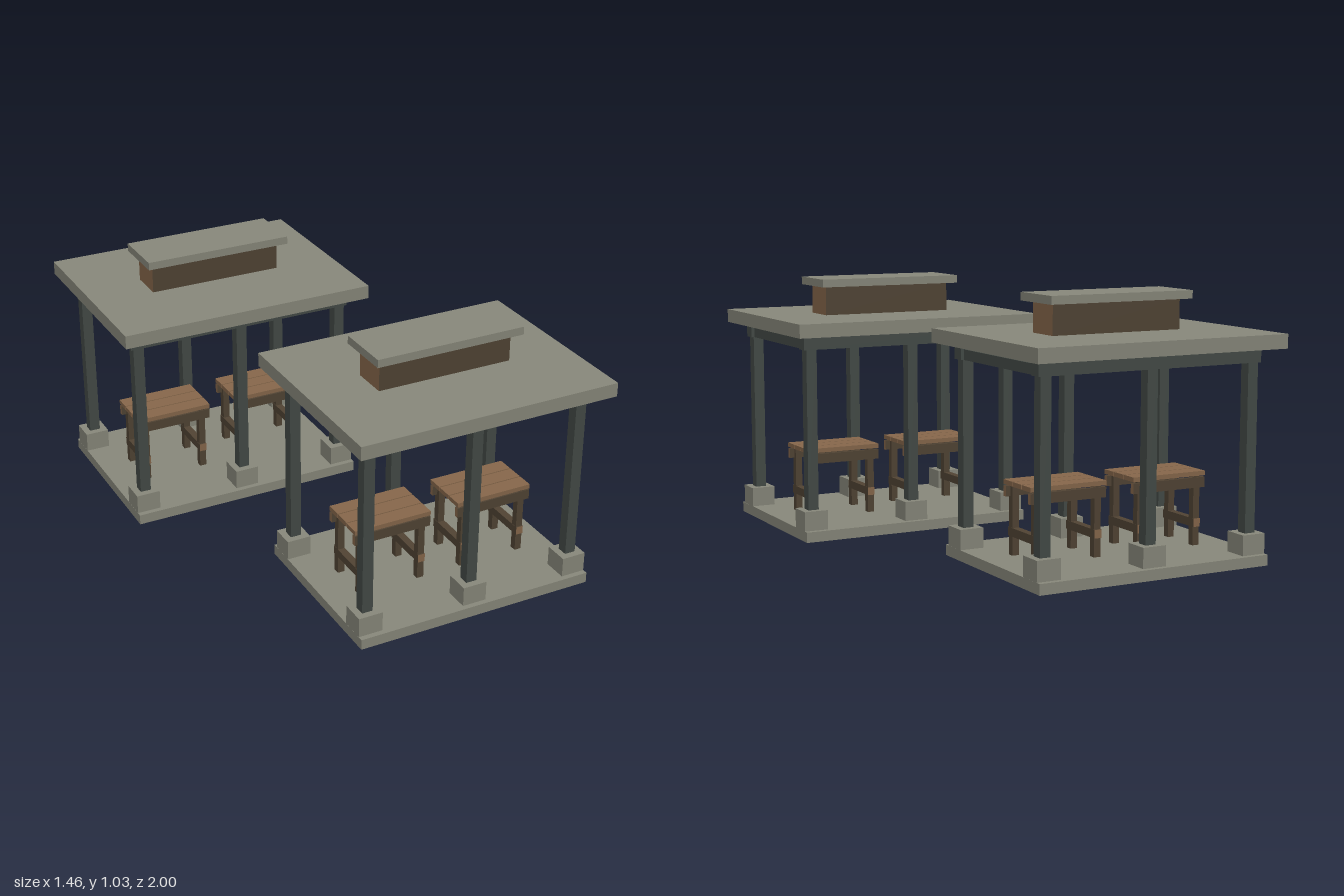
import * as THREE from 'three';

const material = (name, color) => {
  const m = new THREE.MeshStandardMaterial({ color });
  m.name = name;
  return m;
};

export function createModel() {
  const stone = material('grey stone', 0x87877a);
  const steel = material('dark green steel', 0x434a46);
  const lightWood = material('light wood', 0x85664a);
  const darkWood = material('dark wood', 0x504333);

  // Box given by its bottom height; material may be an array per face
  const box = (parent, name, mat, w, h, d, x, y, z) => {
    const mesh = new THREE.Mesh(new THREE.BoxGeometry(w, h, d), mat);
    mesh.name = name;
    mesh.position.set(x, y + h / 2, z);
    parent.add(mesh);
    return mesh;
  };

  // Timber: dark sides with light end grain across the x or z axis
  const timberX = [lightWood, lightWood, darkWood, darkWood, darkWood, darkWood];
  const timberZ = [darkWood, darkWood, darkWood, darkWood, lightWood, lightWood];

  function makeTable() {
    const table = new THREE.Group();
    table.name = 'table';
    // Three top planks with narrow gaps
    for (const i of [-1, 0, 1]) {
      box(table, 'topPlank', lightWood, 0.325, 0.018, 0.066, 0, 0.314, i * 0.071);
    }
    for (const s of [-1, 1]) {
      box(table, 'apron', timberX, 0.325, 0.04, 0.018, 0, 0.268, s * 0.0935);
      box(table, 'stretcher', timberZ, 0.03, 0.033, 0.208, s * 0.1275, 0.115, 0);
      for (const t of [-1, 1]) {
        box(table, 'leg', darkWood, 0.028, 0.274, 0.028, s * 0.1275, 0.04, t * 0.085);
      }
    }
    return table;
  }

  function makePavilion() {
    const p = new THREE.Group();
    p.name = 'pavilion';
    box(p, 'floorSlab', stone, 0.99, 0.042, 0.73, 0, 0, 0);
    box(p, 'roofSlab', stone, 1.063, 0.055, 0.82, 0, 0.825, 0);

    // Raised roof vent and its cap
    box(p, 'roofVent', timberX, 0.555, 0.118, 0.145, 0, 0.88, 0);
    box(p, 'ventCap', stone, 0.615, 0.032, 0.228, 0, 0.998, 0);

    // Three bays of posts, footings and cross beams
    for (const x of [-0.445, 0, 0.445]) {
      for (const z of [-0.294, 0.294]) {
        box(p, 'footing', stone, 0.099, 0.079, 0.099, x, 0.042, z);
        box(p, 'post', steel, 0.044, 0.704, 0.044, x, 0.121, z);
      }
      box(p, 'crossBeam', steel, 0.04, 0.04, 0.588, x, 0.768, 0);
    }
    for (const z of [-0.294, 0.294]) {
      box(p, 'longBeam', steel, 0.956, 0.057, 0.052, 0, 0.768, z);
    }

    for (const x of [-0.2225, 0.2225]) {
      const table = makeTable();
      table.position.x = x;
      p.add(table);
    }
    return p;
  }

  // Two staggered pavilions, turned half round from each other
  const model = new THREE.Group();
  model.name = 'pavilions';
  for (const s of [1, -1]) {
    const pavilion = makePavilion();
    pavilion.name = s > 0 ? 'frontPavilion' : 'backPavilion';
    pavilion.position.set(s * 0.197, 0, s * 0.59);
    if (s < 0) pavilion.rotation.y = Math.PI;
    model.add(pavilion);
  }
  return model;
}
